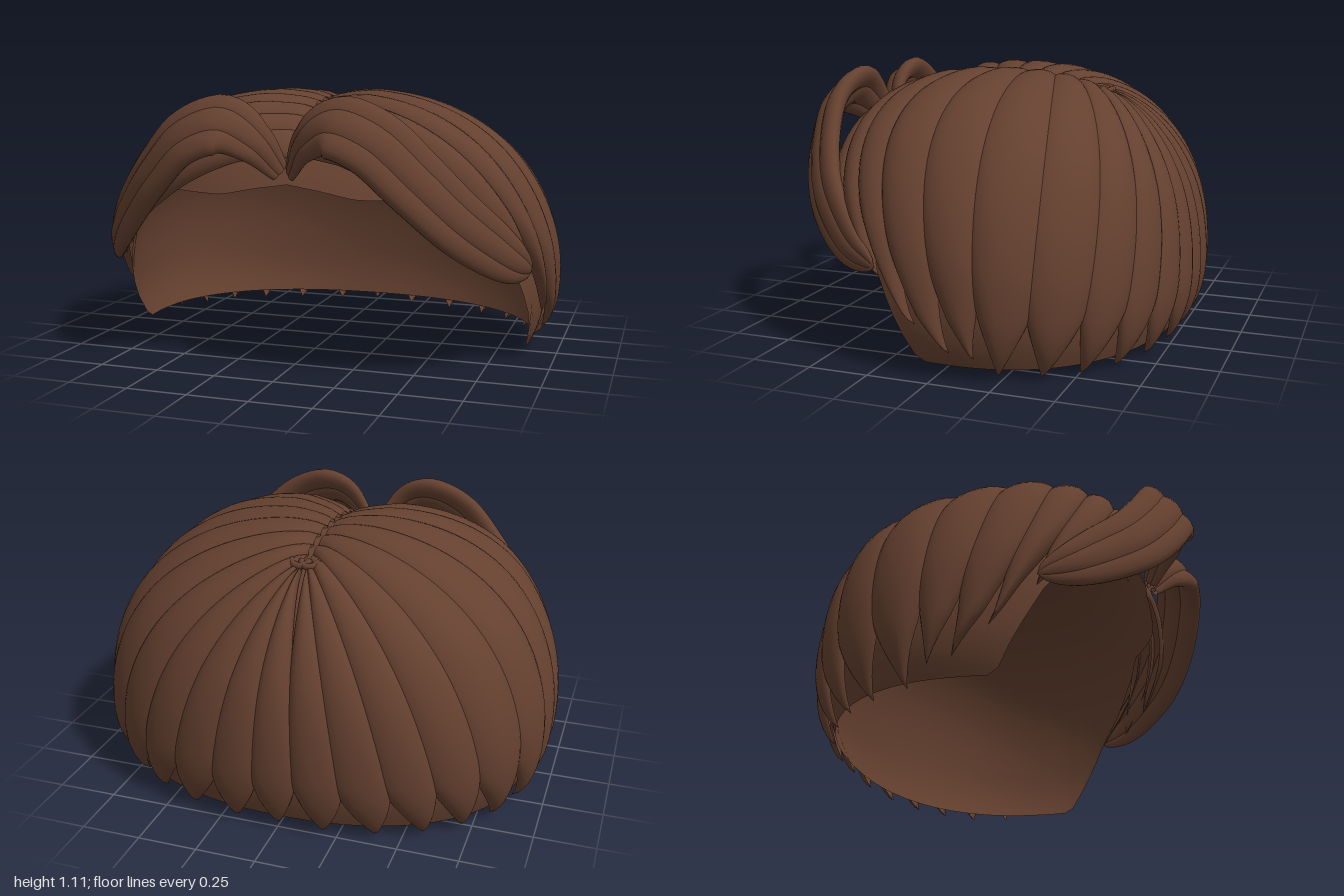
import * as THREE from 'three';
import { mergeVertices } from 'three/addons/utils/BufferGeometryUtils.js';

const P = 2.25; // squareness of the rounded head form
const CY = 0.25, CZ = -0.05;

// Fractional power that treats tiny negative rounding errors as zero
const root = (x, e) => Math.pow(Math.max(0, x), e);

// Grid surface from fn(u, v) -> [x, y, z]; side = -1 mirrors it across x
function grid(nu, nv, side, fn) {
  const pos = [], idx = [];
  for (let j = 0; j <= nv; j++) {
    for (let i = 0; i <= nu; i++) {
      const [x, y, z] = fn(i / nu, j / nv);
      pos.push(x * side, y, z);
    }
  }
  for (let j = 0; j < nv; j++) {
    for (let i = 0; i < nu; i++) {
      const a = j * (nu + 1) + i, b = a + 1, c = a + nu + 1, d = c + 1;
      if (side > 0) idx.push(a, b, c, b, d, c);
      else idx.push(a, c, b, b, c, d);
    }
  }
  let g = new THREE.BufferGeometry();
  g.setAttribute('position', new THREE.Float32BufferAttribute(pos, 3));
  g.setIndex(idx);
  g = mergeVertices(g, 1e-5);
  g.computeVertexNormals();
  return g;
}

// Conversion between model space and the unit head form
const toUnit = (x, y, z) => new THREE.Vector3(
  x / 0.98,
  (y - CY) / (y > CY ? 0.85 : 0.6),
  (z - CZ) / (z > CZ ? 0.8 : 0.75));
const fromUnit = (d, r) => [
  d.x * r * 0.98,
  CY + d.y * r * (d.y > 0 ? 0.85 : 0.6),
  CZ + d.z * r * (d.z > 0 ? 0.8 : 0.75)];
const norm = (d) => root(
  Math.abs(d.x) ** P + Math.abs(d.y) ** P + Math.abs(d.z) ** P, 1 / P);

// Locks of one side, crown to forehead: part z, then tip x, y, z, then sweep
const LOCKS = [
  [-0.41, 0.00, -0.01, -0.79, 0],
  [-0.41, 0.20, -0.02, -0.77, 0],
  [-0.40, 0.42, -0.02, -0.72, 0],
  [-0.36, 0.61, -0.02, -0.64, 0],
  [-0.30, 0.76, -0.02, -0.54, 0],
  [-0.22, 0.87, -0.02, -0.41, 0.02],
  [-0.12, 0.94, -0.01, -0.25, 0.05],
  [-0.02, 0.98, 0.07, -0.16, 0.1],
  [0.07, 0.98, 0.09, -0.06, 0.15],
  [0.17, 0.98, 0.20, 0.08, 0.15],
  [0.27, 0.95, 0.37, 0.26, 0.1],
  [0.37, 0.87, 0.42, 0.41, 0.06],
  [0.47, 0.77, 0.50, 0.51, 0.02],
];

// Interpolated lock row, so that neighbours share their seams
function rowAt(v) {
  const i = Math.min(Math.max(Math.floor(v), 0), LOCKS.length - 2), f = v - i;
  return LOCKS[i].map((a, k) => a + (LOCKS[i + 1][k] - a) * f);
}

// Fullness of the hair above each temple, fading out at the parting
const TEMPLE = new THREE.Vector3(0.46, 0.69, 0.56);
function swell(d) {
  const n = d.clone().normalize();
  return 0.085 * Math.exp(-n.distanceToSquared(TEMPLE) / 0.25) * Math.min(1, Math.abs(n.x) / 0.2);
}

function lockPoint(v, t, lift) {
  const [z0, x, y, z, sweep] = rowAt(v);
  const zs = (z0 - CZ) / (z0 > CZ ? 0.8 : 0.75);
  const a = new THREE.Vector3(0.012, root(1 - Math.abs(zs) ** P, 1 / P), zs).normalize();
  const b = toUnit(x, y, z).normalize();
  const angle = a.angleTo(b);
  const d = a.multiplyScalar(Math.sin((1 - t) * angle)).addScaledVector(b, Math.sin(t * angle));
  d.z += sweep * Math.sin(Math.PI * t) * Math.sin(angle);
  return fromUnit(d, (0.965 + lift + swell(d)) / norm(d));
}

// Pointed, bulging lock lying on the head
function lockGeometry(j, side) {
  return grid(12, 40, side, (s, t) => {
    const u = -Math.cos(Math.PI * s);
    const taper = Math.max(0, 1 - root((t - 0.7) / 0.3, 1.5));
    const bulge = Math.min(1, 0.65 + 0.8 * t) * root(taper, 0.5);
    const lift = 0.058 * root(1 - u * u, 0.5) * bulge - 0.03 * Math.exp(-t * 30);
    return lockPoint(j + u * 0.62 * taper, t, lift);
  });
}

// Hairline height by angle from the back of the head
const HAIRLINE = [[0, 0.035], [101, 0.035], [106, 0.17], [115, 0.39], [128, 0.58],
  [140, 0.7], [160, 0.7], [170, 0.73], [180, 0.75]];
function hairline(deg) {
  let i = 0;
  while (i < HAIRLINE.length - 2 && deg > HAIRLINE[i + 1][0]) i++;
  const [a, ya] = HAIRLINE[i], [b, yb] = HAIRLINE[i + 1];
  return ya + (yb - ya) * (deg - a) / (b - a);
}

// Thin cap under the locks
function capGeometry() {
  const R = 0.95;
  return grid(120, 32, 1, (s, t) => {
    const az = (s === 1 ? 0 : s) * Math.PI * 2;
    const y = hairline(180 - Math.abs(180 - s * 360));
    const end = (y - CY) / ((y > CY ? 0.85 : 0.6) * R);
    const h = 1 - (1 - end) * t * t;
    const p = new THREE.Vector3(Math.sin(az), 0, -Math.cos(az));
    p.multiplyScalar(root(1 - Math.abs(h) ** P, 1 / P) / norm(p));
    p.y = h;
    return fromUnit(p, R);
  });
}

// Raised fringe strand: flat oval section swept along an arch
const ARCH = new THREE.CatmullRomCurve3([
  [0.02, 0.80, 0.60], [0.10, 0.92, 0.67], [0.22, 0.99, 0.70], [0.38, 0.94, 0.71],
  [0.54, 0.79, 0.67], [0.68, 0.64, 0.59], [0.79, 0.53, 0.48], [0.87, 0.45, 0.37],
  [0.92, 0.40, 0.25],
].map((p) => new THREE.Vector3(...p)));

function fringeGeometry(shift, half, thick, side) {
  const centre = new THREE.Vector3(0.2, 0.55, 0.2);
  return grid(16, 48, side, (s, t) => {
    const p = ARCH.getPoint(t), T = ARCH.getTangent(t);
    const N = p.clone().sub(centre);
    N.addScaledVector(T, -N.dot(T)).normalize();
    const B = new THREE.Vector3().crossVectors(T, N);
    const width = Math.min(1, 0.3 + t * 2.6) * root(1 - t ** 4, 0.6);
    const a = (s === 1 ? 0 : s) * Math.PI * 2;
    p.addScaledVector(B, (shift + Math.cos(a) * half) * width);
    p.addScaledVector(N, Math.sin(a) * thick * width);
    return p.toArray();
  });
}

export function createModel() {
  const model = new THREE.Group();
  model.name = 'hair';
  const brown = new THREE.MeshStandardMaterial({ color: 0x64402f, side: THREE.DoubleSide });
  brown.name = 'brown hair';
  const add = (parent, name, geometry) => {
    const mesh = new THREE.Mesh(geometry, brown);
    mesh.name = name;
    parent.add(mesh);
    return mesh;
  };

  add(model, 'scalpCap', capGeometry());
  add(model, 'centreBackLock', lockGeometry(0, 1));

  for (const [side, label] of [[1, 'left'], [-1, 'right']]) {
    const half = new THREE.Group();
    half.name = label + 'Hair';
    model.add(half);

    // Locks combed from the parting
    for (let j = 1; j < LOCKS.length; j++) add(half, label + 'Lock' + j, lockGeometry(j, side));

    // Arched fringe of overlapping strands
    [[-0.08, 0.065, 0.04], [0, 0.08, 0.052], [0.08, 0.065, 0.04]].forEach(([shift, w, h], k) =>
      add(half, label + 'FringeStrand' + (k + 1), fringeGeometry(shift, w, h, side)));

    // Small curl at the crown
    const curl = add(half, label + 'CrownCurl', new THREE.TorusGeometry(0.035, 0.014, 8, 20, Math.PI));
    curl.rotation.set(-Math.PI / 2 - 0.35, 0, 0);
    curl.position.set(side * 0.02, 1.02, -0.38);
  }
  return model;
}
